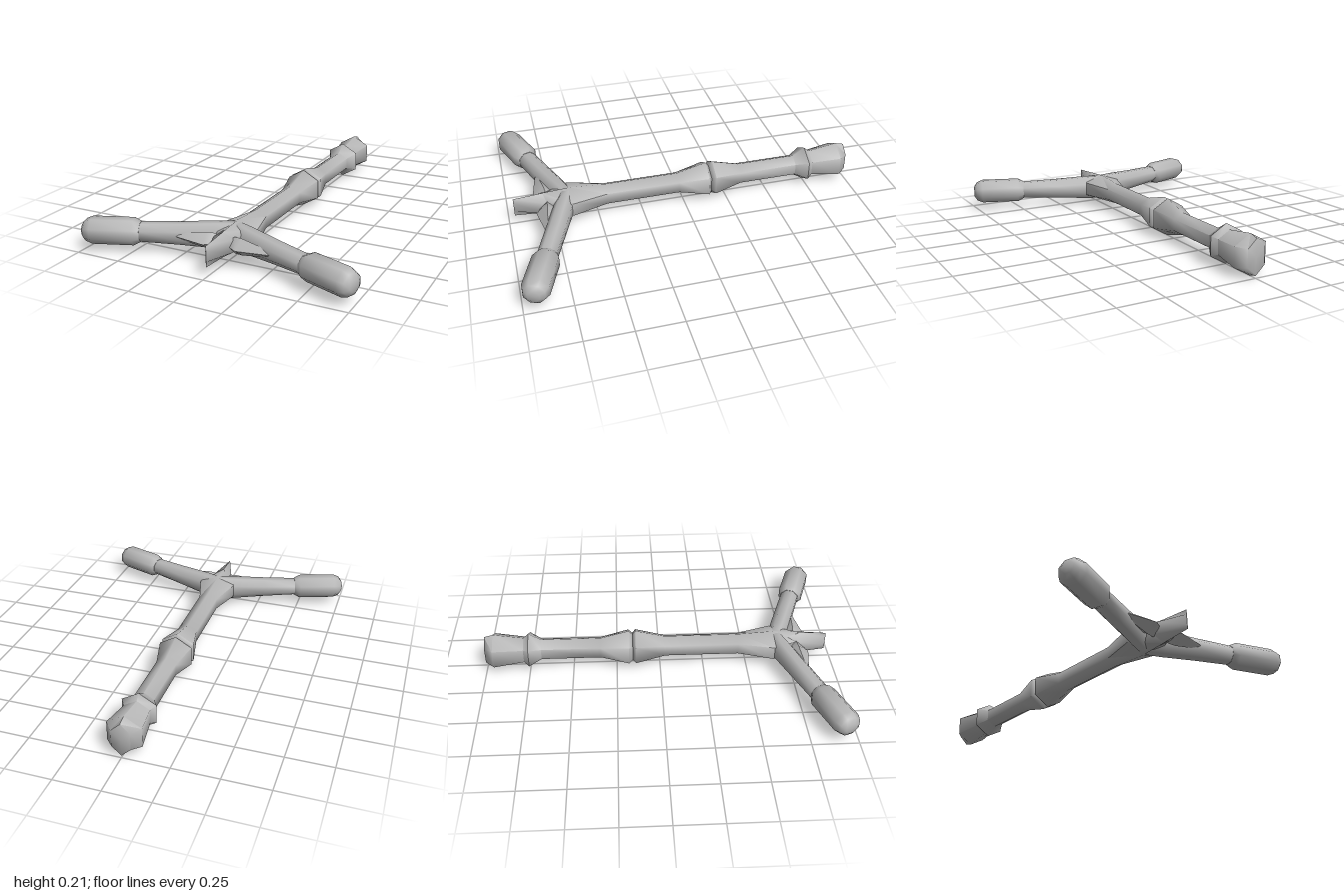
import * as THREE from 'three';
import { toCreasedNormals } from 'three/addons/utils/BufferGeometryUtils.js';

const MID = 0.107; // height of the common axis plane

// Closed loft along +z from rings of [z, radiusX, radiusY]
function loft(rings, sides, phase) {
  const pos = [], index = [];
  for (const [z, rx, ry] of rings) {
    for (let j = 0; j < sides; j++) {
      const a = phase + (j / sides) * Math.PI * 2;
      pos.push(Math.cos(a) * rx, Math.sin(a) * ry, z);
    }
  }
  const last = rings.length - 1;
  const c0 = pos.length / 3, c1 = c0 + 1;
  pos.push(0, 0, rings[0][0], 0, 0, rings[last][0]);
  for (let j = 0; j < sides; j++) {
    const k = (j + 1) % sides;
    for (let i = 0; i < last; i++) {
      const p = i * sides, q = p + sides;
      index.push(p + j, p + k, q + k, p + j, q + k, q + j);
    }
    index.push(c0, k, j, c1, last * sides + j, last * sides + k);
  }
  const g = new THREE.BufferGeometry();
  g.setAttribute('position', new THREE.Float32BufferAttribute(pos, 3));
  g.setIndex(index);
  return toCreasedNormals(g, 1.08);
}

export function createModel() {
  const model = new THREE.Group();
  const grey = new THREE.MeshStandardMaterial({ color: 0xb8b8b8 });
  grey.name = 'grey';

  function add(name, rings, sides, phase, z = 0, turn = 0) {
    const mesh = new THREE.Mesh(loft(rings, sides, phase), grey);
    mesh.name = name;
    mesh.position.set(0, MID, z);
    mesh.rotation.y = turn;
    model.add(mesh);
  }

  // Six-sided sections with a ridge at top and bottom; r is the ridge radius
  const hex = Math.PI / 6;
  const ring = (z, r) => [z, r, r];

  // Rear grip with its pommel and collars
  add('rearGrip', [
    [-1, 0.058, 0.094], ring(-0.95, 0.107), ring(-0.78, 0.08), ring(-0.75, 0.107),
    ring(-0.68, 0.064), ring(-0.34, 0.064), ring(-0.18, 0.107), ring(-0.157, 0.085),
  ], 6, hex);

  // Front grip flaring into the hub
  add('frontGrip', [
    ring(-0.157, 0.085), ring(-0.14, 0.107), ring(0.03, 0.064), ring(0.45, 0.064),
    [0.65, 0.127, 0.078], [0.8, 0.05, 0.068],
  ], 6, hex);

  // Upright wedge at the nose
  add('noseWedge', [
    [0.64, 0.03, 0.07], [0.8, 0.062, 0.067], [0.965, 0.002, 0.055],
  ], 6, hex);

  for (const side of [1, -1]) {
    // Swept arm with a thicker rounded end
    const oct = Math.PI / 8, k = 1 / Math.cos(oct);
    add(side > 0 ? 'leftArm' : 'rightArm', [
      [0, 0.045, 0.071], [0.1, 0.052, 0.068], [0.3, 0.052, 0.056], [0.5, 0.051, 0.048],
    ].map(([z, x, y]) => [z, x * k, y * k]), 8, oct, 0.669, side * 1.222);
    add(side > 0 ? 'leftArmEnd' : 'rightArmEnd', [
      ring(0.495, 0.05), ring(0.53, 0.067), ring(0.75, 0.067), ring(0.785, 0.054), ring(0.802, 0.03),
    ].map(([z, x, y]) => [z, x * k * 1.04, y * k]), 8, oct, 0.669, side * 1.222);

    // Pointed fin on the front of the arm
    add(side > 0 ? 'leftFin' : 'rightFin', [
      [0.03, 0.02, 0.03], [0.06, 0.045, 0.045], [0.1, 0.062, 0.045], [0.29, 0.008, 0.012],
    ], 4, 0, 0.777, side * 1.46);
  }
  return model;
}
